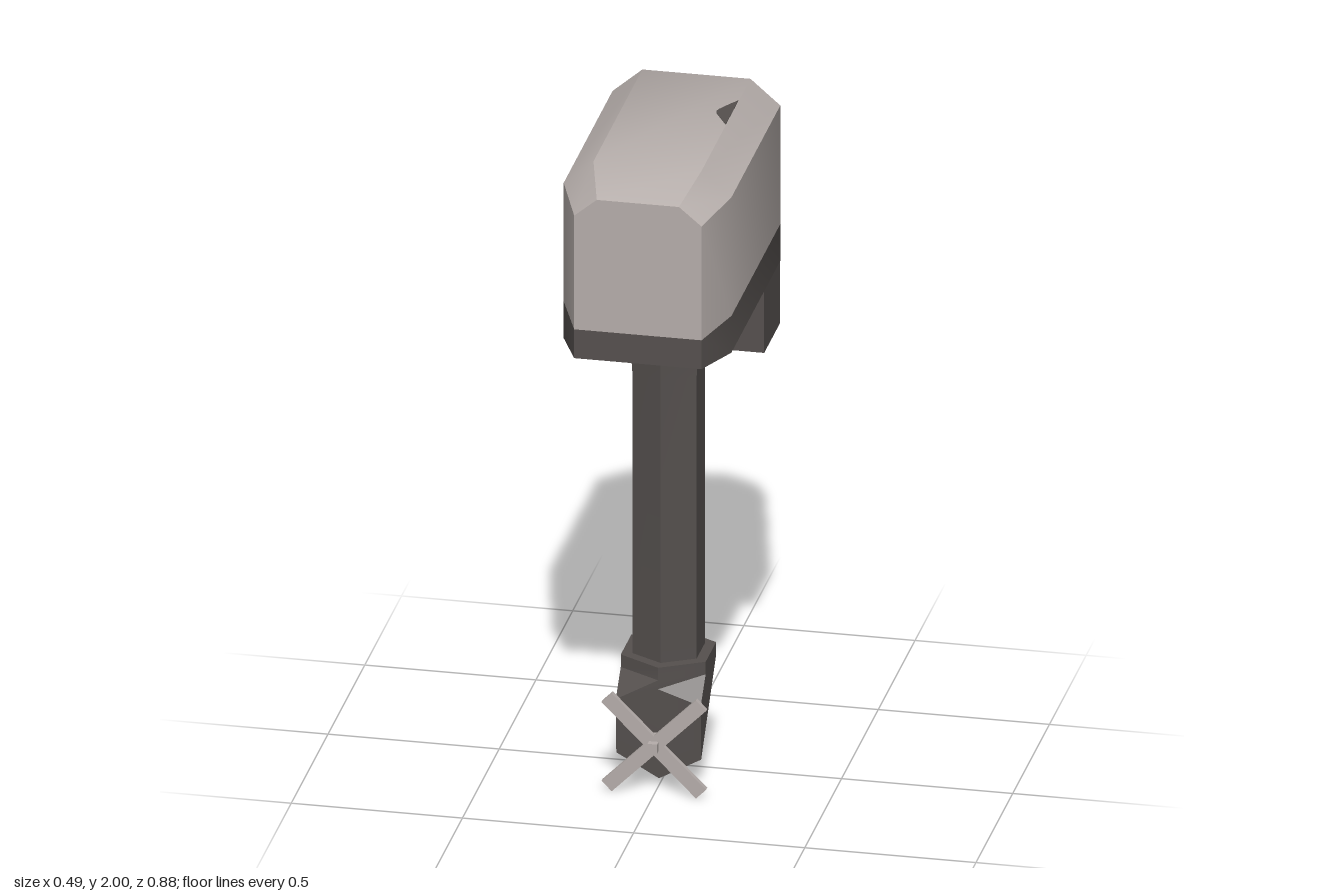
import * as THREE from 'three';
import { toCreasedNormals } from 'three/addons/utils/BufferGeometryUtils.js';

const lightGrey = new THREE.MeshStandardMaterial({ color: 0xb5adaa });
lightGrey.name = 'light grey';
const darkGrey = new THREE.MeshStandardMaterial({ color: 0x55504e });
darkGrey.name = 'dark grey';

// Closed solid through rings of equal length; rings run counter-clockwise
// when looking back along the direction of travel.
function loft(rings) {
  const n = rings[0].length;
  const index = [];
  for (let r = 0; r < rings.length - 1; r++) {
    for (let i = 0; i < n; i++) {
      const j = (i + 1) % n;
      const a = r * n + i, b = r * n + j, c = a + n, d = b + n;
      index.push(a, b, d, a, d, c);
    }
  }
  const last = (rings.length - 1) * n;
  for (let i = 1; i < n - 1; i++) {
    index.push(0, i + 1, i, last, last + i, last + i + 1);
  }
  const g = new THREE.BufferGeometry();
  g.setAttribute('position', new THREE.Float32BufferAttribute(rings.flat(2), 3));
  g.setIndex(index);
  return toCreasedNormals(g, 0.54);
}

// Six-sided horizontal ring with a point at the front and back
const hexRing = (y, w, front, frontSide, backSide, back) => [
  [0, y, front], [w, y, frontSide], [w, y, backSide],
  [0, y, back], [-w, y, backSide], [-w, y, frontSide],
];

export function createModel() {
  const model = new THREE.Group();
  model.name = 'outboardMotor';
  const add = (name, geometry, material, parent = model) => {
    const mesh = new THREE.Mesh(geometry, material);
    mesh.name = name;
    parent.add(mesh);
    return mesh;
  };

  // Housing stations: z, half width, bottom, band top, shoulder, top half width, top
  const stations = [
    [-0.442, 0.2, 1.49, 1.555, 1.89, 0.13, 1.95],
    [-0.355, 0.245, 1.44, 1.555, 1.925, 0.158, 2],
    [0.31, 0.245, 1.44, 1.555, 1.925, 0.158, 2],
    [0.442, 0.186, 1.44, 1.53, 1.885, 0.12, 1.94],
  ];
  add('cowling', loft(stations.map(([z, w, , band, side, t, top]) => [
    [-w, band, z], [w, band, z], [w, side, z], [t, top, z], [-t, top, z], [-w, side, z],
  ])), lightGrey);
  add('cowlingBase', loft(stations.map(([z, w, bottom, band]) => [
    [-w, bottom, z], [w, bottom, z], [w, band, z], [-w, band, z],
  ])), darkGrey);

  // Small dark patch against the right-hand edge of the roof
  const patch = new THREE.Shape();
  patch.moveTo(0.157, 0.022);
  patch.lineTo(0.157, 0.195);
  patch.lineTo(0.138, 0.165);
  patch.lineTo(0.115, 0.123);
  patch.lineTo(0.111, 0.108);
  patch.lineTo(0.115, 0.095);
  patch.lineTo(0.138, 0.055);
  const patchMesh = add('roofPatch',
    new THREE.ExtrudeGeometry(patch, { depth: 0.004, bevelEnabled: false }), darkGrey);
  patchMesh.rotation.x = -Math.PI / 2;
  patchMesh.position.y = 1.998;

  // Mounting block under the rear
  add('mountingBracket', new THREE.BoxGeometry(0.488, 0.255, 0.212), darkGrey)
    .position.set(0, 1.3725, -0.246);

  // Leg, flared where it meets the housing
  add('leg', loft([
    hexRing(0.36, 0.094, 0.132, 0.08, -0.033, -0.082),
    hexRing(1.25, 0.094, 0.132, 0.08, -0.033, -0.082),
    hexRing(1.45, 0.106, 0.142, 0.085, -0.04, -0.096),
  ]), darkGrey);

  // Gear case: bends from a level collar to an upright front face
  const collar = [0.124, 0.167, 0.097, -0.046, -0.115];
  add('gearCase', loft([
    [
      [0, 0.305, 0.167], [0.124, 0.262, 0.165], [0.124, 0.093, 0.158],
      [0, 0.022, 0.155], [-0.124, 0.093, 0.158], [-0.124, 0.262, 0.165],
    ],
    hexRing(0.333, ...collar),
    hexRing(0.372, ...collar),
  ]), darkGrey);

  // Four-bladed propeller
  const propeller = new THREE.Group();
  propeller.name = 'propeller';
  propeller.position.set(0, 0.153, 0);
  model.add(propeller);
  add('hub', new THREE.BoxGeometry(0.028, 0.028, 0.095), lightGrey, propeller)
    .position.z = 0.1975;
  for (let i = 0; i < 4; i++) {
    const blade = new THREE.BoxGeometry(0.19, 0.042, 0.016);
    blade.translate(0.1, 0, 0.217);
    blade.rotateZ(Math.PI / 4 + i * Math.PI / 2);
    add('blade', blade, lightGrey, propeller);
  }
  return model;
}
